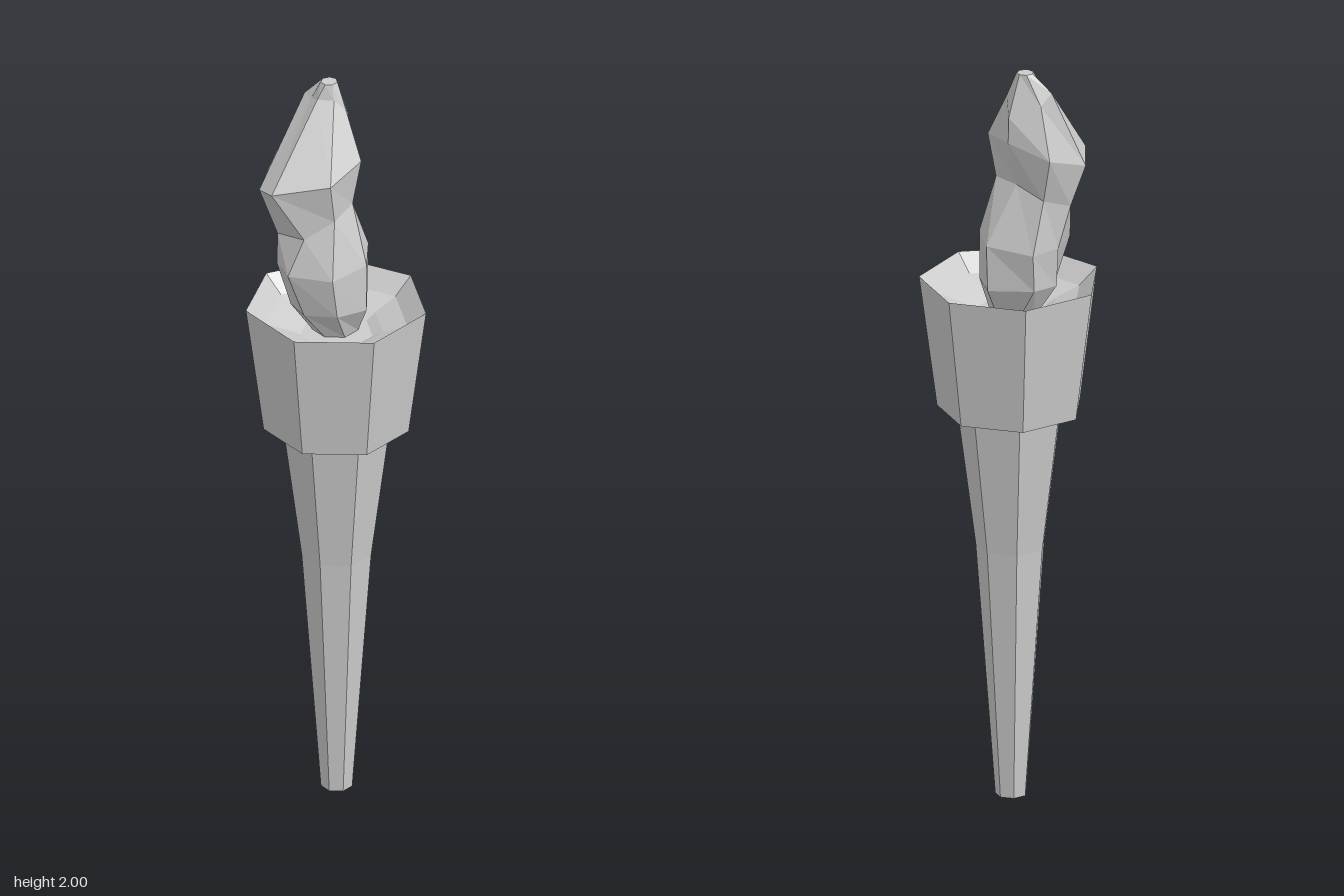
import * as THREE from 'three';

const SIDES = 7;
const material = new THREE.MeshStandardMaterial({ color: 0xcccccc, flatShading: true });

// Seven-sided turned part with one corner pointing back
function turned(name, profile) {
  const points = profile.map(([r, y]) => new THREE.Vector2(r, y));
  const mesh = new THREE.Mesh(new THREE.LatheGeometry(points, SIDES, Math.PI), material);
  mesh.name = name;
  mesh.position.z = 0.011;
  return mesh;
}

// Closed skin over a stack of rings, each running front, right, back, left
function skin(rings) {
  const positions = [];
  const triangle = (...corners) => corners.forEach((p) => positions.push(...p));
  const centre = (ring) => [0, 1, 2].map((k) => ring.reduce((sum, p) => sum + p[k], 0) / ring.length);
  const bottom = rings[0], top = rings[rings.length - 1];
  const low = centre(bottom), high = centre(top);
  for (let i = 0; i < SIDES; i++) {
    const j = (i + 1) % SIDES;
    for (let r = 0; r < rings.length - 1; r++) {
      const lower = rings[r], upper = rings[r + 1];
      triangle(lower[i], upper[i], upper[j]);
      triangle(lower[i], upper[j], lower[j]);
    }
    triangle(low, bottom[i], bottom[j]);
    triangle(high, top[j], top[i]);
  }
  const geometry = new THREE.BufferGeometry();
  geometry.setAttribute('position', new THREE.Float32BufferAttribute(positions, 3));
  geometry.computeVertexNormals();
  return geometry;
}

// Small regular ring for the two ends of the flame
function smallRing(x, y, z, radius) {
  return Array.from({ length: SIDES }, (_, i) => {
    const a = -((i - 0.5) / SIDES) * Math.PI * 2;
    return [x + radius * Math.sin(a), y, z + radius * Math.cos(a)];
  });
}

export function createModel() {
  const group = new THREE.Group();
  group.name = 'torch';

  // Tapered handle
  group.add(turned('handle', [[0, 0], [0.041, 0], [0.091, 0.68], [0.14, 1.06]]));

  // Flared cup with a shallow stepped bowl
  group.add(turned('cup', [
    [0, 1.055], [0.19, 1.055], [0.236, 1.405],
    [0.187, 1.36], [0.123, 1.335], [0.095, 1.32], [0, 1.32],
  ]));

  // Wavering flame: pinched waist, wide shoulder, tip leaning back
  const foot = [[0, 1.4, 0.115], [-0.07, 1.4, 0.105], [-0.13, 1.41, 0.04], [-0.135, 1.42, -0.05],
    [-0.025, 1.41, -0.106], [0.073, 1.4, -0.03], [0.075, 1.41, 0.065]];
  const belly = [[-0.015, 1.52, 0.155], [-0.095, 1.515, 0.13], [-0.145, 1.52, 0.03], [-0.14, 1.52, -0.06],
    [-0.02, 1.53, -0.105], [0.073, 1.53, -0.03], [0.078, 1.52, 0.082]];
  const waist = [[0, 1.62, 0.115], [-0.1, 1.6, 0.125], [-0.16, 1.63, 0.06], [-0.14, 1.66, -0.02],
    [-0.06, 1.69, -0.035], [0.02, 1.69, -0.025], [0.043, 1.67, 0.05]];
  const shoulder = [[-0.04, 1.755, 0.188], [-0.1, 1.745, 0.183], [-0.188, 1.74, 0.087], [-0.175, 1.78, -0.035],
    [-0.075, 1.82, -0.083], [0.03, 1.81, -0.045], [0.053, 1.78, 0.07]];
  const crown = [[-0.08, 1.96, 0.013], [-0.11, 1.95, 0.011], [-0.145, 1.95, 0.005], [-0.138, 1.92, -0.028],
    [-0.077, 1.89, -0.083], [-0.035, 1.93, -0.045], [-0.05, 1.96, -0.018]];
  const flame = new THREE.Mesh(skin([
    smallRing(-0.02, 1.32, 0, 0.06), foot, belly, waist, shoulder, crown,
    smallRing(-0.083, 2, -0.027, 0.022),
  ]), material);
  flame.name = 'flame';
  group.add(flame);

  return group;
}
